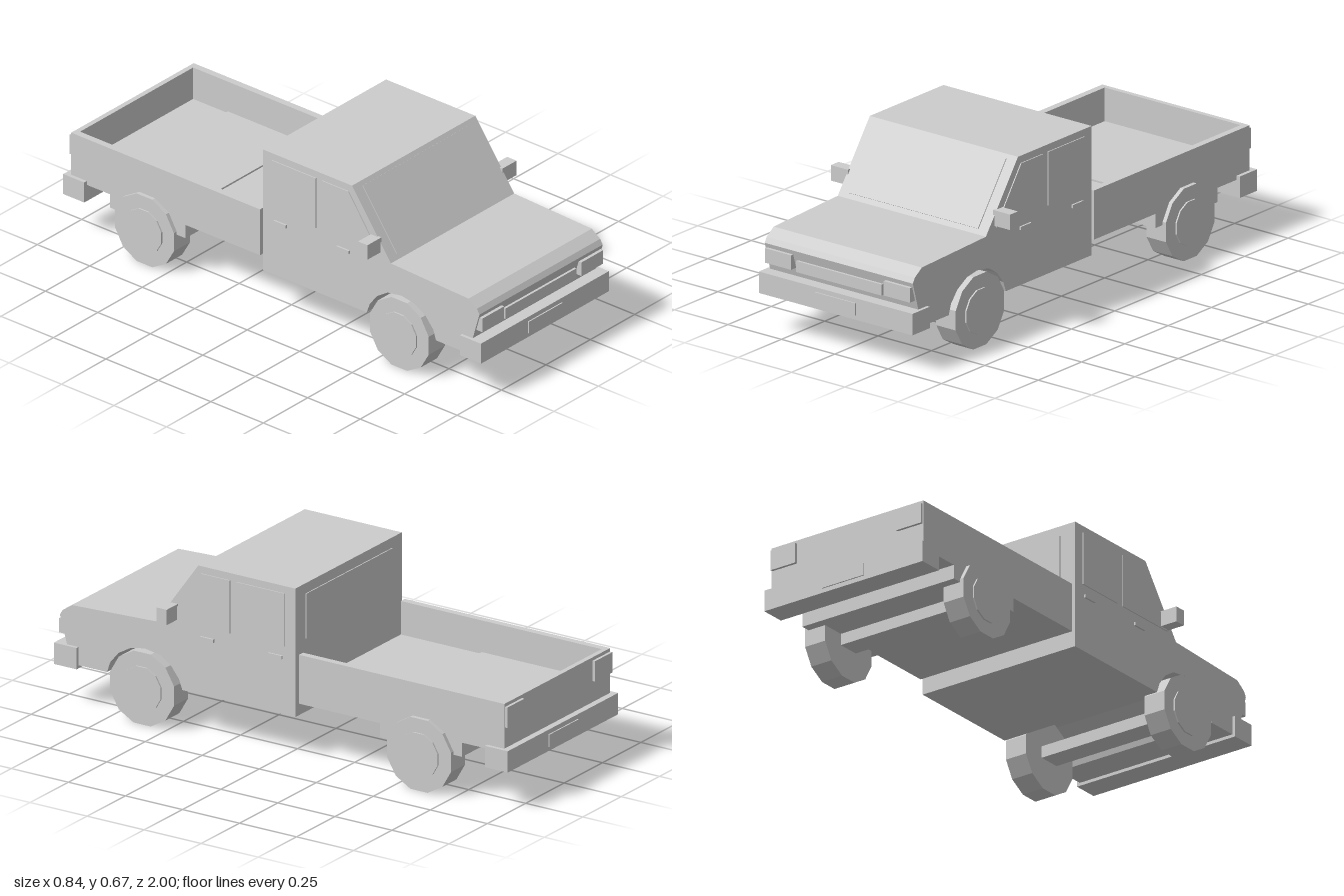
import * as THREE from 'three';

const paint = new THREE.MeshStandardMaterial({ color: 0xcccccc });
paint.name = 'light grey';

function add(parent, name, geometry) {
  const mesh = new THREE.Mesh(geometry, paint);
  mesh.name = name;
  parent.add(mesh);
  return mesh;
}

// Box given by its limits on each axis
function box(parent, name, [x0, x1], [y0, y1], [z0, z1]) {
  const g = new THREE.BoxGeometry(x1 - x0, y1 - y0, z1 - z0);
  return add(parent, name, g.translate((x0 + x1) / 2, (y0 + y1) / 2, (z0 + z1) / 2));
}

// Side outline of [z, y] points, extruded across x
function sideExtrude(parent, name, points, x0, x1) {
  const shape = new THREE.Shape(points.map(([z, y]) => new THREE.Vector2(z, y)));
  const g = new THREE.ExtrudeGeometry(shape, { depth: x1 - x0, bevelEnabled: false });
  return add(parent, name, g.rotateY(-Math.PI / 2).translate(x1, 0, 0));
}

// Twelve-sided disc lying along x, with a flat side down
function disc(parent, name, apothem, x0, x1, z) {
  const r = apothem / Math.cos(Math.PI / 12);
  const g = new THREE.CylinderGeometry(r, r, x1 - x0, 12).toNonIndexed();
  g.rotateY(Math.PI / 12).rotateZ(Math.PI / 2).translate((x0 + x1) / 2, 0.14, z);
  g.computeVertexNormals();
  return add(parent, name, g);
}

// Limits on x, mirrored for the right side
const span = (s, a, b) => (s > 0 ? [a, b] : [-b, -a]);

export function createModel() {
  const truck = new THREE.Group();
  truck.name = 'pickupTruck';

  // Cab and bonnet with the front wheel arch cut right through
  sideExtrude(truck, 'cabBody', [
    [-0.055, 0.165], [0.44, 0.165], [0.455, 0.205], [0.49, 0.25], [0.54, 0.282], [0.605, 0.292],
    [0.665, 0.282], [0.72, 0.25], [0.757, 0.205], [0.77, 0.165], [0.92, 0.165], [0.945, 0.235],
    [0.977, 0.345], [0.965, 0.365], [0.925, 0.393], [0.555, 0.408], [0.37, 0.665], [-0.055, 0.665],
  ], -0.347, 0.347);

  // Windscreen plate lying on the sloping pillar line
  const slopeZ = (y) => 0.555 - (y - 0.408) * (0.185 / 0.257);
  sideExtrude(truck, 'windscreen', [
    [slopeZ(0.425) - 0.004, 0.422], [slopeZ(0.425) + 0.003, 0.427],
    [slopeZ(0.65) + 0.003, 0.652], [slopeZ(0.65) - 0.004, 0.647],
  ], -0.302, 0.302);
  box(truck, 'rearWindow', [-0.28, 0.28], [0.45, 0.625], [-0.059, -0.053]);

  // Nose and bumpers
  box(truck, 'grille', [-0.2, 0.2], [0.265, 0.308], [0.93, 0.976]);
  for (const [end, s] of [['front', 1], ['rear', -1]]) {
    box(truck, end + 'Bumper', [-0.36, 0.36], [0.153, 0.236], span(s, 0.895, 0.995));
    box(truck, end + 'NumberPlate', [-0.095, 0.095], [0.17, 0.218], span(s, 0.992, 1));
  }

  // Load bed, open towards the cab
  box(truck, 'bedFloor', [-0.345, 0.345], [0.22, 0.28], [-0.97, -0.07]);
  box(truck, 'tailgate', [-0.345, 0.345], [0.28, 0.41], [-0.97, -0.95]);
  box(truck, 'rearWheelHousing', [-0.345, 0.345], [0.165, 0.287], [-0.785, -0.425]);

  for (const [side, s] of [['left', 1], ['right', -1]]) {
    const half = new THREE.Group();
    half.name = side + 'SideParts';
    truck.add(half);

    box(half, 'bedSide', span(s, 0.318, 0.345), [0.28, 0.41], [-0.95, -0.07]);
    box(half, 'headlight', span(s, 0.217, 0.34), [0.272, 0.328], [0.93, 0.985]);
    box(half, 'tailLight', span(s, 0.23, 0.342), [0.318, 0.397], [-0.981, -0.96]);
    box(half, 'mirror', span(s, 0.34, 0.42), [0.436, 0.496], [0.46, 0.505]);

    // Door windows and handles
    const glass = span(s, 0.344, 0.351);
    sideExtrude(half, 'rearDoorWindow', [[-0.01, 0.43], [0.2, 0.43], [0.2, 0.637], [-0.01, 0.637]], ...glass);
    sideExtrude(half, 'frontDoorWindow', [[0.23, 0.43], [0.5, 0.43], [0.355, 0.637], [0.23, 0.637]], ...glass);
    for (const z of [0.03, 0.33]) {
      box(half, 'doorHandle', span(s, 0.34, 0.354), [0.38, 0.393], [z - 0.03, z + 0.03]);
    }

    // Tyres and hubs
    for (const z of [0.607, -0.607]) {
      disc(half, 'tyre', 0.14, ...span(s, 0.27, 0.361), z);
      disc(half, 'hub', 0.085, ...span(s, 0.35, 0.367), z);
    }
  }

  // Axle beams
  for (const z of [0.607, -0.607]) {
    box(truck, 'axle', [-0.28, 0.28], [0.12, 0.166], [z - 0.045, z + 0.045]);
  }

  return truck;
}
